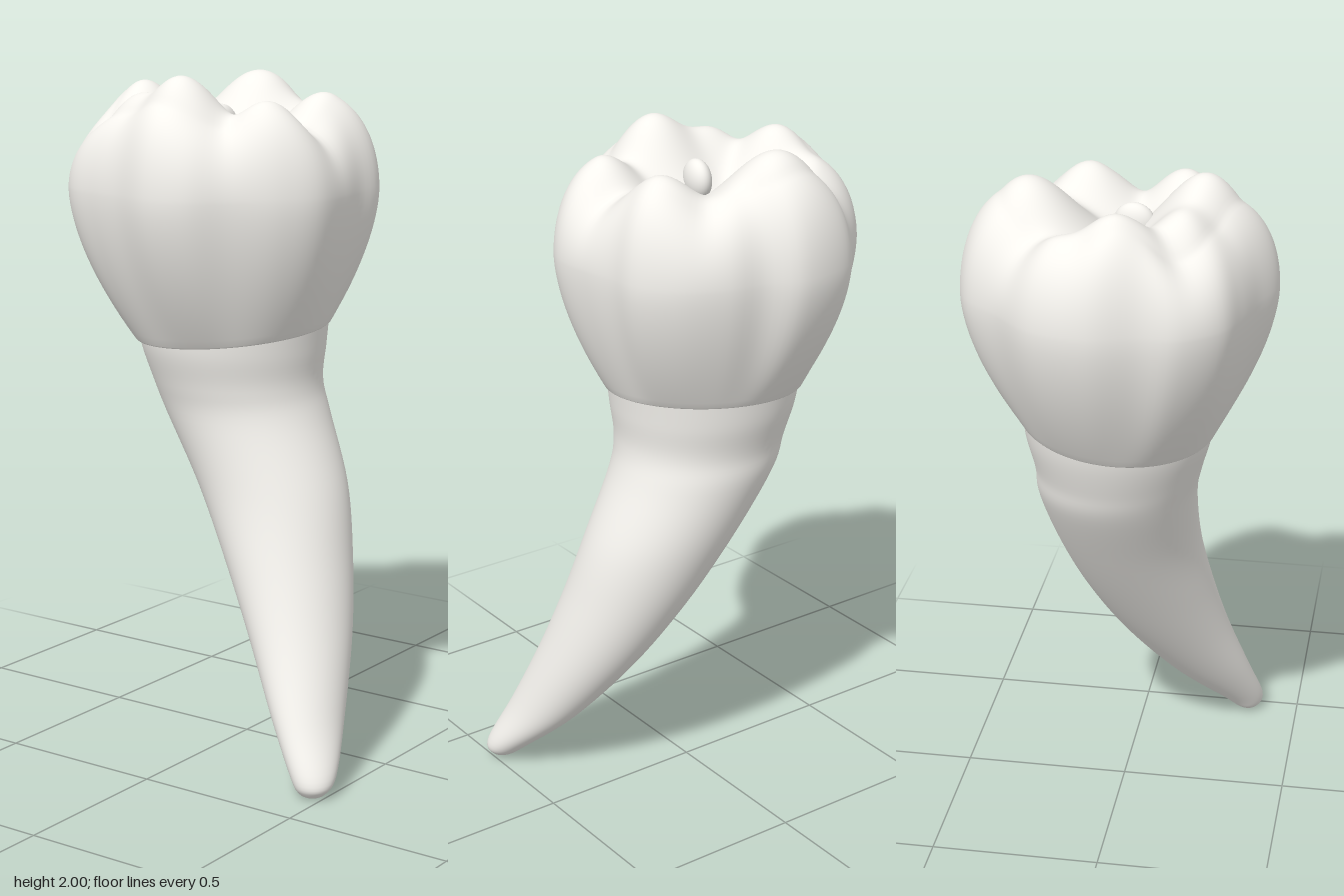
import * as THREE from 'three';

const material = new THREE.MeshStandardMaterial({ color: 0xf4f2ed });
const V = (x, y, z) => new THREE.Vector3(x, y, z);

// Smooth closed skin through equal-length rings, ordered bottom to top
function loft(rings, name) {
  const n = rings[0].length;
  const index = [];
  for (let r = 0; r < rings.length - 1; r++) {
    for (let i = 0; i < n; i++) {
      const a = r * n + i, b = r * n + (i + 1) % n;
      index.push(a, b, b + n, a, b + n, a + n);
    }
  }
  const geometry = new THREE.BufferGeometry().setFromPoints(rings.flat());
  geometry.setIndex(index);
  geometry.computeVertexNormals();
  const mesh = new THREE.Mesh(geometry, material);
  mesh.name = name;
  return mesh;
}

// Root: curved, tapering stack of elliptical sections
function makeRoot() {
  // y, min x, max x, min z, max z
  const sections = [
    [0.00, -0.345, -0.335, 0.460, 0.470],
    [0.015, -0.375, -0.300, 0.425, 0.505],
    [0.06, -0.387, -0.245, 0.390, 0.520],
    [0.20, -0.350, -0.100, 0.278, 0.474],
    [0.40, -0.292, 0.045, 0.135, 0.424],
    [0.60, -0.248, 0.145, 0.000, 0.374],
    [0.80, -0.218, 0.212, -0.130, 0.322],
    [1.00, -0.218, 0.252, -0.255, 0.242],
    [1.10, -0.236, 0.256, -0.295, 0.217],
    [1.20, -0.263, 0.278, -0.328, 0.224],
    [1.29, -0.274, 0.289, -0.345, 0.232],
  ];
  const middle = new THREE.CatmullRomCurve3(
    sections.map(([y, a, b, c, d]) => V((a + b) / 2, y, (c + d) / 2)), false, 'catmullrom');
  const radius = new THREE.CatmullRomCurve3(
    sections.map(([y, a, b, c, d]) => V((b - a) / 2, y, (d - c) / 2)), false, 'catmullrom');
  const rings = [];
  for (let k = 0; k <= 60; k++) {
    const c = middle.getPoint(k / 60), r = radius.getPoint(k / 60);
    rings.push(Array.from({ length: 64 }, (_, i) => {
      const a = (i / 64) * Math.PI * 2;
      return V(c.x + r.x * Math.cos(a), c.y, c.z - r.z * Math.sin(a));
    }));
  }
  // Close the tip
  rings.unshift(rings[0].map(() => V(-0.34, 0, 0.465)));
  return loft(rings, 'root');
}

// Height of the chewing surface: cusps rising from a central hollow
const cusps = [ // x, z, height, spread
  [-0.25, -0.06, 0.25, 0.13],
  [-0.21, -0.23, 0.19, 0.11],
  [0.27, -0.13, 0.245, 0.15],
  [-0.04, -0.37, 0.23, 0.12],
  [0.13, -0.39, 0.17, 0.11],
  [-0.17, 0.20, 0.205, 0.115],
  [0.14, 0.21, 0.21, 0.13],
  [0.28, 0.05, 0.14, 0.10],
];
function biteHeight(x, z) {
  let sum = 0;
  for (const [cx, cz, h, w] of cusps) {
    sum += (h * Math.exp(-((x - cx) ** 2 + (z - cz) ** 2) / (2 * w * w))) ** 4;
  }
  return 1.76 + sum ** 0.25;
}

// Crown: lobed bulging wall, rounded shoulder and cusped top
function makeCrown() {
  const outline = new THREE.CatmullRomCurve3([
    [0.443, -0.08], [0.41, -0.26], [0.30, -0.36], [0.18, -0.48], [0.02, -0.52],
    [-0.12, -0.485], [-0.22, -0.475], [-0.33, -0.39], [-0.37, -0.28], [-0.40, -0.17],
    [-0.445, -0.03], [-0.42, 0.08], [-0.34, 0.17], [-0.24, 0.29], [-0.14, 0.35],
    [0, 0.345], [0.1, 0.33], [0.2, 0.325], [0.3, 0.25], [0.37, 0.12], [0.39, 0.02],
  ].map(([x, z]) => V(x, 0, z)), true).getSpacedPoints(128).slice(0, 128);
  const cx = -0.01, cz = -0.08, bulgeY = 1.66;

  const neck = outline.map((p) => {
    const a = Math.atan2(p.z - cz, p.x - cx);
    const x = 0.008 + 0.285 * Math.cos(a), z = -0.056 + 0.295 * Math.sin(a);
    return V(x, 1.253 + 0.08 * x + 0.06 * z, z);
  });
  // Lip turned in under the crown
  const rings = [neck.map((p) => V(p.x * 0.85, p.y + 0.006, -0.056 + (p.z + 0.056) * 0.85))];
  rings.push(neck.map((p) => V(p.x * 0.985, p.y - 0.004, -0.056 + (p.z + 0.056) * 0.985)));
  // Wall
  for (let k = 0; k <= 20; k++) {
    const u = k / 20, f = 1 - (1 - u) ** 1.65;
    rings.push(outline.map((p, i) => {
      const q = neck[i];
      return V(q.x + (p.x - q.x) * f, q.y + (bulgeY - q.y) * u, q.z + (p.z - q.z) * f);
    }));
  }
  // Shoulder and top
  for (let k = 1; k <= 48; k++) {
    const s = Math.cos((k / 48) * Math.PI / 2);
    const rise = Math.sqrt(Math.max(0, 1 - s ** 4.5));
    const t = Math.min(s, 0.74);
    rings.push(outline.map((p) => {
      const dx = p.x - cx, dz = p.z - cz;
      const h = biteHeight(cx + dx * t, cz + dz * t);
      return V(cx + dx * s, bulgeY + (h - bulgeY) * rise, cz + dz * s);
    }));
  }
  return loft(rings, 'crown');
}

export function createModel() {
  const model = new THREE.Group();
  model.name = 'tooth';
  model.add(makeRoot(), makeCrown());

  // Small nodule in the central hollow
  const nodule = new THREE.Mesh(new THREE.SphereGeometry(1, 32, 20), material);
  nodule.name = 'centralNodule';
  nodule.scale.set(0.062, 0.06, 0.037);
  nodule.rotation.y = -0.2;
  nodule.position.set(-0.04, 1.848, -0.068);
  model.add(nodule);
  return model;
}
